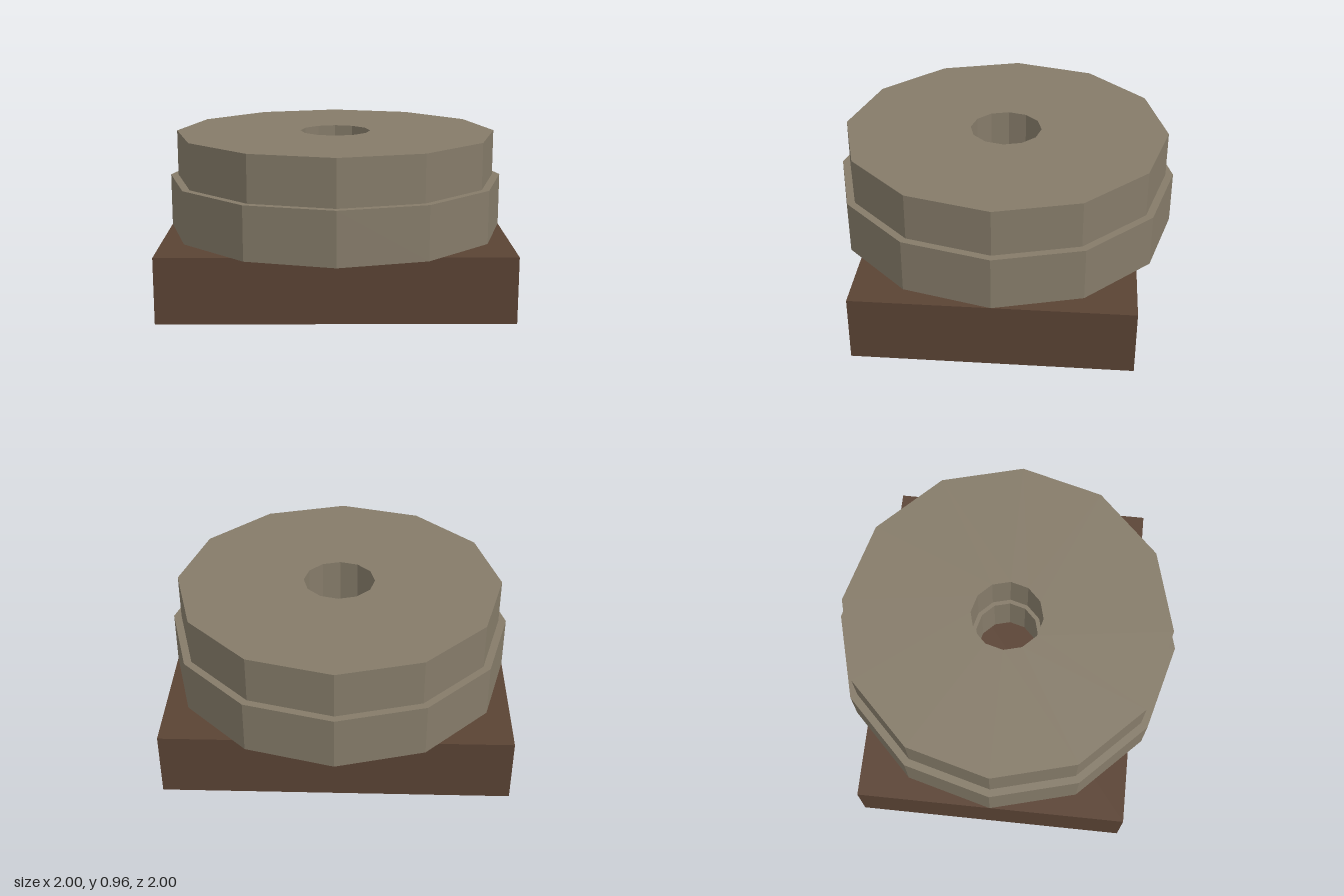
import * as THREE from 'three';

const SIDES = 12;

// Faceted ring with a square cross-section and a hole through the middle
function ring(name, inner, outer, bottom, top, material) {
  const profile = [
    [inner, bottom], [outer, bottom], [outer, top], [inner, top], [inner, bottom],
  ].map(([r, y]) => new THREE.Vector2(r, y));
  const geometry = new THREE.LatheGeometry(profile, SIDES).toNonIndexed();
  geometry.computeVertexNormals(); // flat facets
  const mesh = new THREE.Mesh(geometry, material);
  mesh.name = name;
  return mesh;
}

export function createModel() {
  const wood = new THREE.MeshStandardMaterial({ color: 0x5a4334 });
  wood.name = 'dark wood';
  const stone = new THREE.MeshStandardMaterial({ color: 0x857b69 });
  stone.name = 'grey stone';

  const model = new THREE.Group();
  model.name = 'millstone';

  // Wooden block under the stones
  const base = new THREE.Mesh(new THREE.BoxGeometry(2, 0.38, 1.58), wood);
  base.name = 'base';
  base.position.y = 0.19;
  model.add(base);

  // Two stacked grinding stones, the upper one slightly smaller with a wider eye
  model.add(ring('lowerStone', 0.185, 1, 0.38, 0.69, stone));
  model.add(ring('upperStone', 0.21, 0.955, 0.69, 0.96, stone));

  return model;
}
